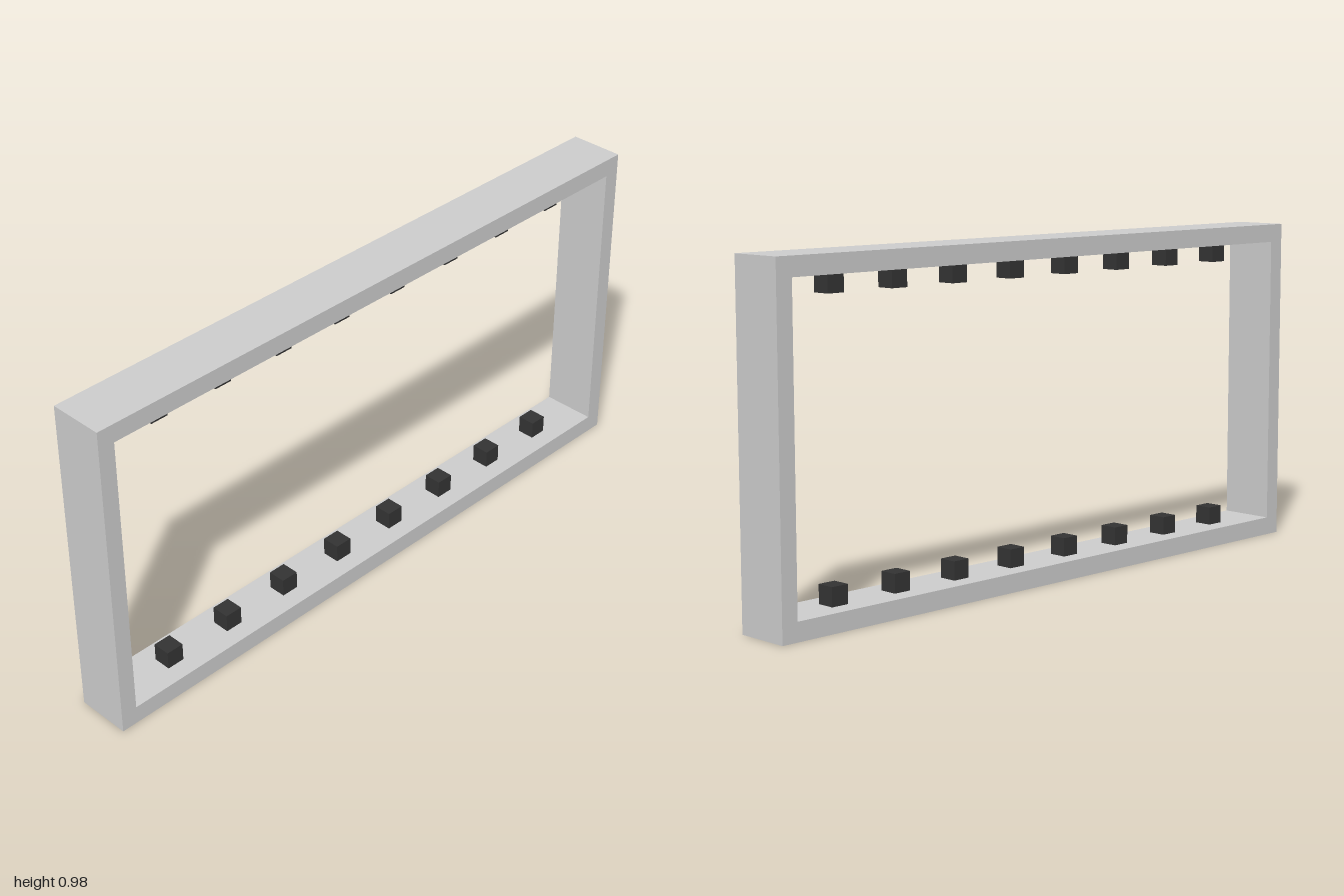
import * as THREE from 'three';

const HEIGHT = 0.98, DEPTH = 0.164, WALL = 0.05, RAIL = 0.054, BLOCK = 0.054;

function rectangle(path, z0, y0, z1, y1) {
  path.moveTo(z0, y0);
  path.lineTo(z1, y0);
  path.lineTo(z1, y1);
  path.lineTo(z0, y1);
  path.closePath();
  return path;
}

export function createModel() {
  const model = new THREE.Group();
  model.name = 'frameWithBlocks';
  const grey = new THREE.MeshStandardMaterial({ color: 0xcccccc });
  const dark = new THREE.MeshStandardMaterial({ color: 0x333333 });

  // Rectangular frame, extruded across x
  const outline = rectangle(new THREE.Shape(), -1, 0, 1, HEIGHT);
  outline.holes.push(rectangle(new THREE.Path(), -1 + WALL, RAIL, 1 - WALL, HEIGHT - RAIL));
  const frameGeometry = new THREE.ExtrudeGeometry(outline, { depth: DEPTH, bevelEnabled: false });
  frameGeometry.translate(0, 0, -DEPTH / 2);
  frameGeometry.rotateY(Math.PI / 2);
  const frame = new THREE.Mesh(frameGeometry, grey);
  frame.name = 'frame';
  model.add(frame);

  // Rows of small blocks on the inner faces of both rails
  const blockGeometry = new THREE.BoxGeometry(BLOCK, BLOCK, BLOCK);
  const rows = {
    lowerBlock: RAIL + BLOCK / 2,
    upperBlock: HEIGHT - RAIL - BLOCK / 2,
  };
  for (const [name, y] of Object.entries(rows)) {
    for (let i = 0; i < 8; i++) {
      const block = new THREE.Mesh(blockGeometry, dark);
      block.name = name + (i + 1);
      block.position.set(0, y, 0.76 - i * 0.2177);
      model.add(block);
    }
  }
  return model;
}
